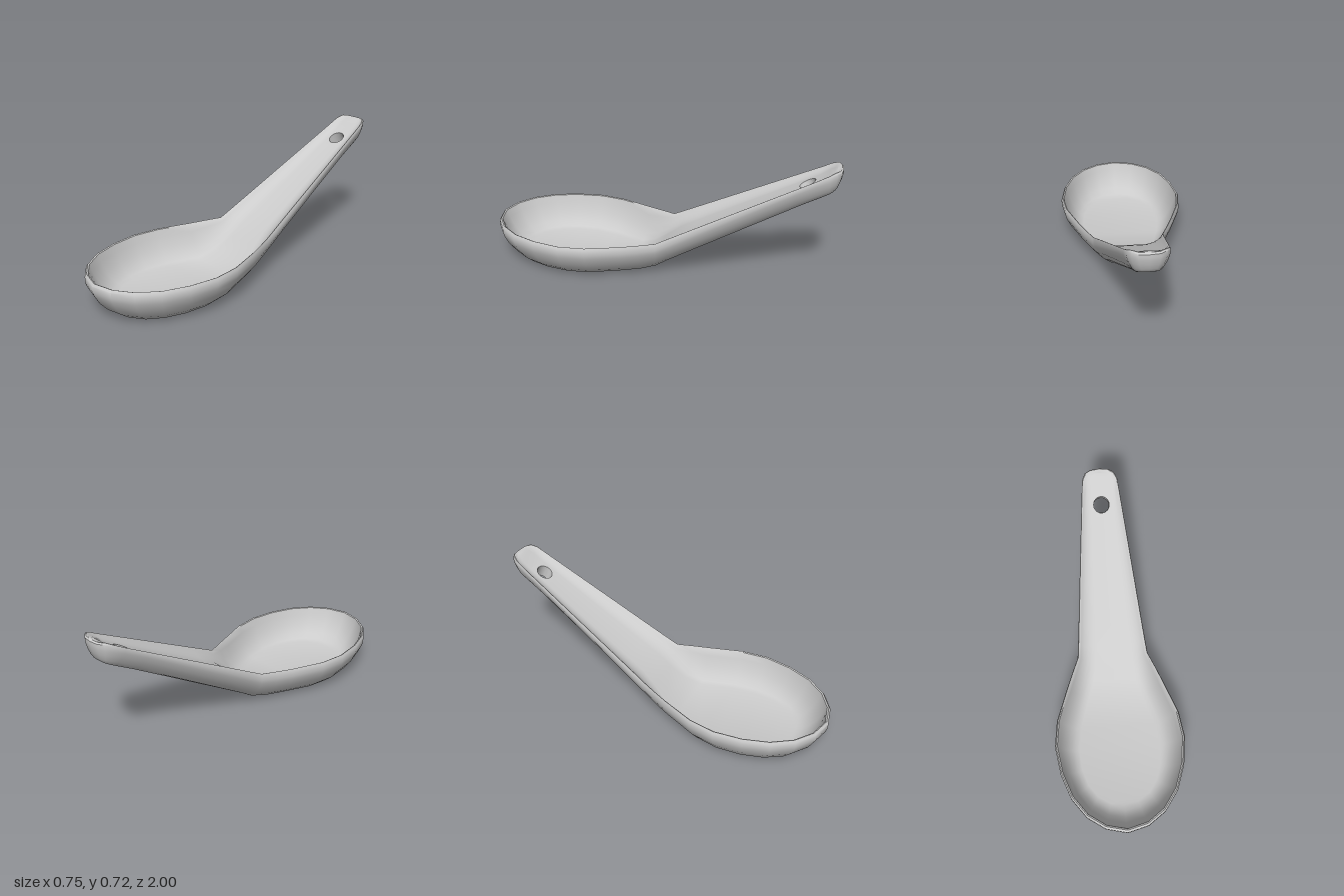
import * as THREE from 'three';
import { toCreasedNormals } from 'three/addons/utils/BufferGeometryUtils.js';

const lerp = THREE.MathUtils.lerp;

// Height curves along the spoon, as [z, y] from the bowl tip to the handle end
const RIM = [[1, 0.218], [0.2, 0.22], [-0.03, 0.232], [-0.97, 0.723], [-1, 0.721]];
const UNDERSIDE = [[1, 0], [0.2, 0], [0.08, 0.01], [0, 0.03], [-0.06, 0.068], [-0.815, 0.518], [-0.965, 0.601]];
const TROUGH = [[1, 0.025], [0.16, 0.025], [0.07, 0.07], [-0.02, 0.145], [-0.1, 0.21],
  [-0.2, 0.268], [-0.88, 0.65], [-0.97, 0.718]];

// Stations: rim z, rim half width, underside z, half width, trough z, half width
const STATIONS = [
  [1, 0, 0.85, 0, 0.82, 0],
  [0.97, 0.12, 0.83, 0.08, 0.805, 0.08],
  [0.9, 0.22, 0.78, 0.15, 0.76, 0.15],
  [0.79, 0.3, 0.7, 0.2, 0.69, 0.2],
  [0.65, 0.35, 0.6, 0.23, 0.6, 0.23],
  [0.49, 0.373, 0.48, 0.24, 0.48, 0.24],
  [0.34, 0.353, 0.36, 0.22, 0.35, 0.22],
  [0.15, 0.283, 0.2, 0.15, 0.16, 0.16],
  [0.06, 0.247, 0.08, 0.11, 0.07, 0.125],
  [-0.03, 0.208, 0, 0.085, -0.02, 0.1],
  [-0.1, 0.199, -0.06, 0.078, -0.1, 0.09],
  [-0.2, 0.187, -0.18, 0.075, -0.2, 0.085],
  [-0.76, 0.122, -0.805, 0.06, -0.76, 0.06],
  [-0.88, 0.108, -0.915, 0.056, -0.88, 0.056],
  [-0.94, 0.101, -0.94, 0.052, -0.93, 0.052],
  [-0.975, 0.082, -0.955, 0.043, -0.955, 0.042],
  [-0.995, 0.05, -0.963, 0.027, -0.967, 0.025],
  [-1, 0, -0.965, 0, -0.97, 0],
];
const HOLE_STATION = 12;

// Wall shapes as [inward fraction, downward fraction]
const OUTER_WALL = [[1, 1], [0.85, 0.96], [0.54, 0.8], [0.23, 0.55], [0.05, 0.32], [0, 0.2], [0, 0.06]];
const INNER_WALL = [[0, 0.02], [0.1, 0.25], [0.28, 0.55], [0.52, 0.8], [0.78, 0.95], [1, 1]];

function heightAt(curve, z) {
  for (let i = 1; i < curve.length; i++) {
    const [z0, y0] = curve[i - 1], [z1, y1] = curve[i];
    if (z >= z1) return lerp(y0, y1, (z0 - z) / (z0 - z1));
  }
  return curve[curve.length - 1][1];
}

// Rim outline pulled in at both ends for the inner lip
function lipZ(z, amount) {
  if (z > 0.45) return lerp(z, 0.45, amount);
  return z < -0.9 ? lerp(z, -0.9, amount * 4) : z;
}

// Closed cross-section: right half from underside to trough, then its mirror
function section([zr, w, zo, wo, zi, wi]) {
  const ry = heightAt(RIM, zr), oy = heightAt(UNDERSIDE, zo), iy = heightAt(TROUGH, zi);
  const lz = lipZ(zr, 0.035), lw = w * 0.96;
  const half = [
    ...OUTER_WALL.map(([a, h]) => new THREE.Vector3(lerp(w, wo, a), lerp(ry, oy, h), lerp(zr, zo, a))),
    new THREE.Vector3(w * 0.98, ry, lipZ(zr, 0.02)),
    ...INNER_WALL.map(([a, h]) => new THREE.Vector3(lerp(lw, wi, a), lerp(ry, iy, h), lerp(lz, zi, a))),
  ];
  const mirrored = half.map((p) => new THREE.Vector3(-p.x, p.y, p.z)).reverse();
  return [...half, ...mirrored];
}

function buildSpoon() {
  const positions = [];
  const area = new THREE.Triangle();
  const tri = (a, b, c) => {
    if (area.set(a, b, c).getArea() > 1e-9) for (const p of [a, b, c]) positions.push(p.x, p.y, p.z);
  };
  const quad = (a, b, c, d) => { tri(a, b, d); tri(b, c, d); };

  // Skin around the whole spoon, left open where the hanging hole goes
  const rows = STATIONS.map(section);
  const n = rows[0].length, mid = n / 2 - 1;
  for (let i = 0; i < rows.length - 1; i++) {
    for (let j = 0; j < n; j++) {
      if (i === HOLE_STATION && (j === mid || j === n - 1)) continue;
      const k = (j + 1) % n;
      quad(rows[i][j], rows[i + 1][j], rows[i + 1][k], rows[i][k]);
    }
  }

  // Hanging hole: a ring patch on each face joined by a tunnel
  const steps = 24;
  const ring = (col) => {
    const a = rows[HOLE_STATION][col], b = rows[HOLE_STATION + 1][col];
    const border = [], circle = [];
    for (let s = 0; s <= steps; s++) {
      const t = (s / steps) * Math.PI * 2, c = Math.cos(t), d = Math.sin(t);
      const m = Math.max(Math.abs(c), Math.abs(d));
      const edge = new THREE.Vector3().lerpVectors(a, b, 0.5 + d / m / 2);
      edge.x *= c / m;
      border.push(edge);
      const p = new THREE.Vector3().lerpVectors(a, b, 0.5 + d * 0.34);
      p.x = c * 0.045;
      circle.push(p);
    }
    return { border, circle };
  };
  const top = ring(mid), under = ring(0);
  for (let s = 0; s < steps; s++) {
    quad(top.border[s], top.border[s + 1], top.circle[s + 1], top.circle[s]);
    quad(under.border[s + 1], under.border[s], under.circle[s], under.circle[s + 1]);
    quad(top.circle[s], top.circle[s + 1], under.circle[s + 1], under.circle[s]);
  }

  const geometry = new THREE.BufferGeometry();
  geometry.setAttribute('position', new THREE.Float32BufferAttribute(positions, 3));
  return toCreasedNormals(geometry, 0.75);
}

export function createModel() {
  const group = new THREE.Group();
  group.name = 'soupSpoon';
  const spoon = new THREE.Mesh(buildSpoon(), new THREE.MeshStandardMaterial({ color: 0xcccccc }));
  spoon.name = 'bowlAndHandle';
  group.add(spoon);
  return group;
}
